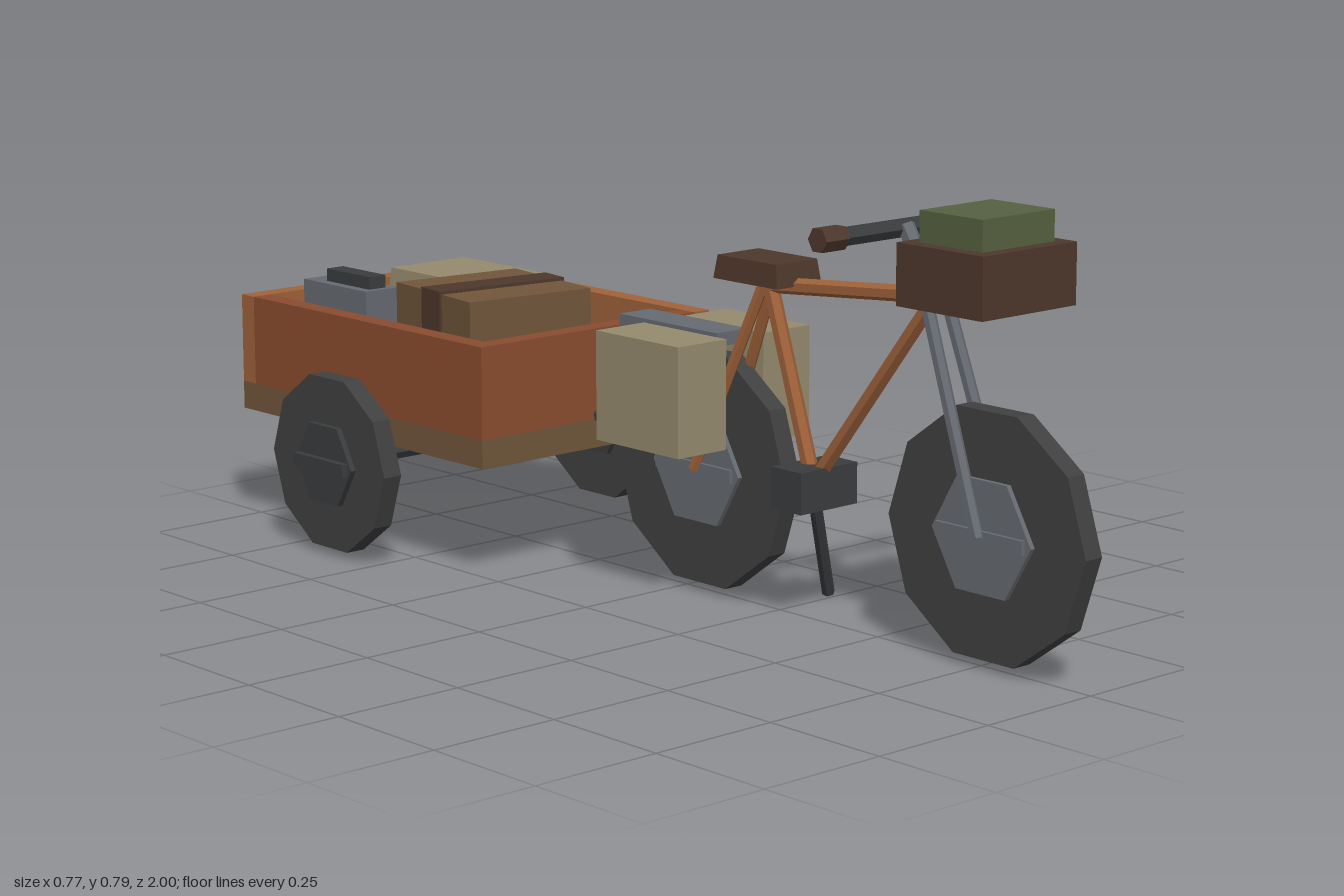
import * as THREE from 'three';

const mat = (name, color, extra = {}) => {
  const m = new THREE.MeshStandardMaterial({ color, flatShading: true, ...extra });
  m.name = name;
  return m;
};

export function createModel() {
  const tyre = mat('tyre rubber', 0x404040);
  const dark = mat('dark metal', 0x3a3c3e);
  const slate = mat('slate metal', 0x666b72);
  const copper = mat('copper paint', 0xa0623a);
  const rust = mat('rust paint', 0x8a4c2f);
  const wood = mat('wood', 0x70563a);
  const leather = mat('dark leather', 0x4e382c);
  const canvas = mat('canvas', 0x958a6e);
  const green = mat('green cloth', 0x566040);

  const model = new THREE.Group();
  model.name = 'cargoBicycleWithTrailer';

  const add = (name, geometry, material, parent = model) => {
    const mesh = new THREE.Mesh(geometry, material);
    mesh.name = name;
    parent.add(mesh);
    return mesh;
  };

  // Box given by its limits; the top may be narrowed by a taper on x and z
  const box = (name, material, [x0, x1], [y0, y1], [z0, z1], taper = 1, parent = model) => {
    const g = new THREE.BoxGeometry(x1 - x0, y1 - y0, z1 - z0);
    const p = g.attributes.position;
    for (let i = 0; i < p.count; i++) {
      if (p.getY(i) > 0) p.setXYZ(i, p.getX(i) * taper, p.getY(i), p.getZ(i) * taper);
    }
    const mesh = add(name, g, material, parent);
    mesh.position.set((x0 + x1) / 2, (y0 + y1) / 2, (z0 + z1) / 2);
    return mesh;
  };

  // Straight tube between two points
  const tube = (name, material, a, b, r, sides = 6) => {
    const from = new THREE.Vector3(...a), to = new THREE.Vector3(...b);
    const dir = to.clone().sub(from);
    const mesh = add(name, new THREE.CylinderGeometry(r, r, dir.length(), sides), material);
    mesh.position.copy(from).add(to).multiplyScalar(0.5);
    mesh.quaternion.setFromUnitVectors(new THREE.Vector3(0, 1, 0), dir.normalize());
    return mesh;
  };

  // Ten-sided solid wheel with a six-sided hub and a cross bar
  const wheel = (name, x, y, z, r, hubR, hubWidth, barWidth, hubMat) => {
    const g = new THREE.Group();
    g.name = name;
    g.position.set(x, y, z);
    const disc = (n, rad, w, sides, m) =>
      add(n, new THREE.CylinderGeometry(rad, rad, w, sides).rotateZ(Math.PI / 2), m, g);
    disc('tyre', r, 0.04, 10, tyre);
    disc('hub', hubR, hubWidth, 6, hubMat);
    add('hubBar', new THREE.BoxGeometry(barWidth, 0.026, hubR * 1.75), hubMat, g);
    model.add(g);
  };

  wheel('frontWheel', 0, 0.24, 0.772, 0.229, 0.115, 0.06, 0.075, slate);
  wheel('rearWheel', 0, 0.24, 0.055, 0.229, 0.115, 0.06, 0.075, slate);

  // Bicycle frame
  const head = [0, 0.635, 0.632], seat = [0, 0.6, 0.222], crank = [0, 0.255, 0.335];
  tube('topTube', copper, head, seat, 0.015);
  tube('downTube', copper, head, crank, 0.015);
  tube('seatTube', copper, seat, crank, 0.015);
  box('crankCase', dark, [-0.07, 0.07], [0.214, 0.29], [0.298, 0.375]);

  // Fork legs and rear stays
  for (const s of [-1, 1]) {
    tube('forkLeg', slate, [s * 0.038, 0.24, 0.772], [s * 0.024, 0.65, 0.625], 0.012);
    tube('seatStay', copper, [s * 0.036, 0.24, 0.058], [s * 0.012, 0.6, 0.215], 0.011);
  }
  box('forkCrown', slate, [-0.035, 0.035], [0.625, 0.65], [0.61, 0.645]);
  tube('stem', slate, [0, 0.63, 0.632], [0, 0.748, 0.557], 0.016);

  // Handlebar and grips
  tube('handlebar', dark, [-0.17, 0.742, 0.548], [0.17, 0.742, 0.548], 0.017);
  for (const s of [-1, 1]) {
    tube('grip', leather, [s * 0.148, 0.742, 0.548], [s * 0.203, 0.742, 0.548], 0.023);
  }

  // Saddle, front box and its load
  box('saddle', leather, [-0.055, 0.055], [0.607, 0.65], [0.13, 0.295], 0.92);
  box('frontBox', leather, [-0.115, 0.115], [0.633, 0.742], [0.648, 0.847]);
  box('frontBundle', green, [-0.088, 0.088], [0.742, 0.797], [0.675, 0.82]);

  // Rear rack and panniers
  box('rearRack', slate, [-0.038, 0.038], [0.477, 0.502], [-0.145, 0.122]);
  for (const s of [-1, 1]) {
    const xs = s > 0 ? [0.046, 0.163] : [-0.163, -0.046];
    box('pannier', canvas, xs, [0.293, 0.497], [-0.068, 0.155]);
  }

  tube('kickstand', dark, [0.03, 0.25, 0.3], [0.137, 0.01, 0.236], 0.012);
  tube('towBar', dark, [0.05, 0.236, 0.06], [0, 0.29, -0.265], 0.015);

  // Trailer bed and walls
  box('trailerFloor', wood, [-0.285, 0.285], [0.225, 0.28], [-1, -0.25]);
  box('trailerWallLeft', copper, [0.245, 0.285], [0.28, 0.455], [-1, -0.25]);
  box('trailerWallRight', rust, [-0.285, -0.245], [0.28, 0.455], [-0.96, -0.25]);
  box('trailerWallFront', rust, [-0.245, 0.245], [0.28, 0.455], [-0.29, -0.25]);
  box('trailerWallBack', copper, [-0.285, 0.245], [0.28, 0.455], [-1, -0.96]);

  // Trailer axle and wheels
  tube('trailerAxle', dark, [-0.32, 0.185, -0.625], [0.32, 0.185, -0.625], 0.016);
  for (const s of [-1, 1]) {
    wheel('trailerWheel', s * 0.34, 0.185, -0.625, 0.175, 0.087, 0.063, 0.09, dark);
  }

  // Strapped chest, turned slightly in the bed
  const chest = new THREE.Group();
  chest.name = 'chest';
  chest.position.set(-0.083, 0, -0.46);
  chest.rotation.y = -0.13;
  box('chestBody', wood, [-0.135, 0.135], [0.28, 0.52], [-0.134, 0.134], 1, chest);
  box('chestStrap', leather, [-0.14, 0.14], [0.28, 0.526], [-0.033, 0.033], 1, chest);
  model.add(chest);

  // Canvas sack and tool case
  box('sack', canvas, [0.012, 0.23], [0.28, 0.483], [-0.94, -0.632], 0.86);
  box('toolCase', slate, [-0.18, -0.1], [0.28, 0.482], [-0.935, -0.733]);
  box('toolCaseHandle', dark, [-0.16, -0.12], [0.482, 0.507], [-0.885, -0.748]);

  return model;
}
